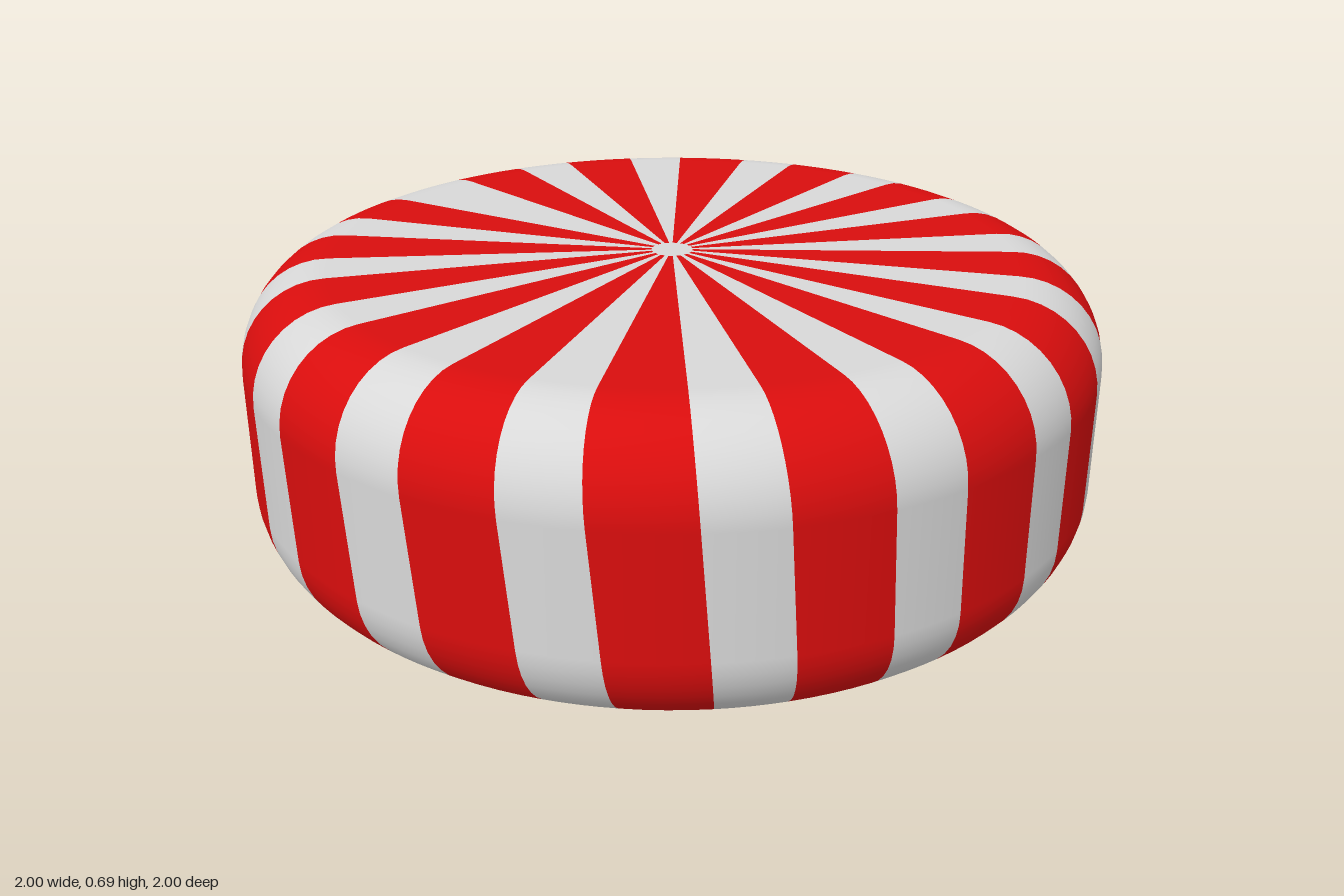
import * as THREE from 'three';
import { mergeGeometries } from 'three/addons/utils/BufferGeometryUtils.js';

const RIM = 0.8, FILLET = 0.2, HEIGHT = 0.693, DOME = 0.007;
const HUB = 0.06;         // white centre, as a fraction of the flat face
const POLE_SHIFT = 0.068; // stripes meet off-centre on the underside
const deg = Math.PI / 180;

// Profile rows from bottom pole to top pole.
// f scales a point from the pole towards the edge of the flat face.
function makeRows() {
  const half = [{ f: 0 }, { f: HUB }, { f: 0.5 }].map(({ f }) =>
    ({ f, r: RIM, y: DOME * f, nr: 0, ny: -1 }));
  for (let i = 0; i <= 10; i++) {
    const a = (i / 10) * Math.PI / 2;
    half.push({
      f: 1, r: RIM + FILLET * Math.sin(a), y: DOME + FILLET * (1 - Math.cos(a)),
      nr: Math.sin(a), ny: -Math.cos(a),
    });
  }
  const wall = [0.3, 0.4].map(y => ({ f: 1, r: RIM + FILLET, y, nr: 1, ny: 0 }));
  const upper = half.map(p => ({ ...p, y: HEIGHT - p.y, ny: -p.ny })).reverse();
  return [...half, ...wall, ...upper];
}

// Slice of the sweet between two angles around the slightly tilted stripe axis
function slice(a0, a1, rows) {
  const steps = 4, pos = [], nor = [], index = [];
  for (const { f, r, y, nr, ny } of rows) {
    const c = POLE_SHIFT * (1 - y / HEIGHT);
    for (let i = 0; i <= steps; i++) {
      const a = (a0 + (a1 - a0) * i / steps) * deg;
      const dx = Math.cos(a), dz = Math.sin(a);
      const t = f * (-c * dx + Math.sqrt(r * r - c * c * dz * dz));
      const x = c + t * dx, z = t * dz;
      pos.push(x, y, z);
      nor.push(nr * x / r, ny, nr * z / r);
    }
  }
  const w = steps + 1;
  for (let j = 0; j < rows.length - 1; j++) {
    for (let i = 0; i < steps; i++) {
      const a = j * w + i, b = a + w;
      index.push(a, b, a + 1, b, b + 1, a + 1);
    }
  }
  const g = new THREE.BufferGeometry();
  g.setAttribute('position', new THREE.Float32BufferAttribute(pos, 3));
  g.setAttribute('normal', new THREE.Float32BufferAttribute(nor, 3));
  g.setIndex(index);
  return g;
}

export function createModel() {
  const group = new THREE.Group();
  group.name = 'stripedCandy';
  const red = new THREE.MeshStandardMaterial({ color: 0xd90d0d });
  red.name = 'candy red';
  const white = new THREE.MeshStandardMaterial({ color: 0xd8d8d8 });
  white.name = 'sugar white';

  const rows = makeRows(), n = rows.length;
  const reds = [], whites = [], hubs = [];
  // Sixteen stripes, with one wider white gap on the -x side
  const start = k => (k < 8 ? 5.5 + 22.2 * k : 189.4 + 22.1 * (k - 8));
  for (let k = 0; k < 16; k++) {
    const a0 = start(k), a1 = a0 + 12.3;
    const next = k < 15 ? start(k + 1) : start(0) + 360;
    reds.push(slice(a0, a1, rows.slice(1, n - 1)));
    whites.push(slice(a1, next, rows));
    hubs.push(slice(a0, a1, rows.slice(0, 2)), slice(a0, a1, rows.slice(n - 2)));
  }

  const add = (name, parts, material) => {
    const mesh = new THREE.Mesh(mergeGeometries(parts), material);
    mesh.name = name;
    group.add(mesh);
  };
  add('redStripes', reds, red);
  add('whiteStripes', whites, white);
  add('whiteHubs', hubs, white);
  return group;
}
